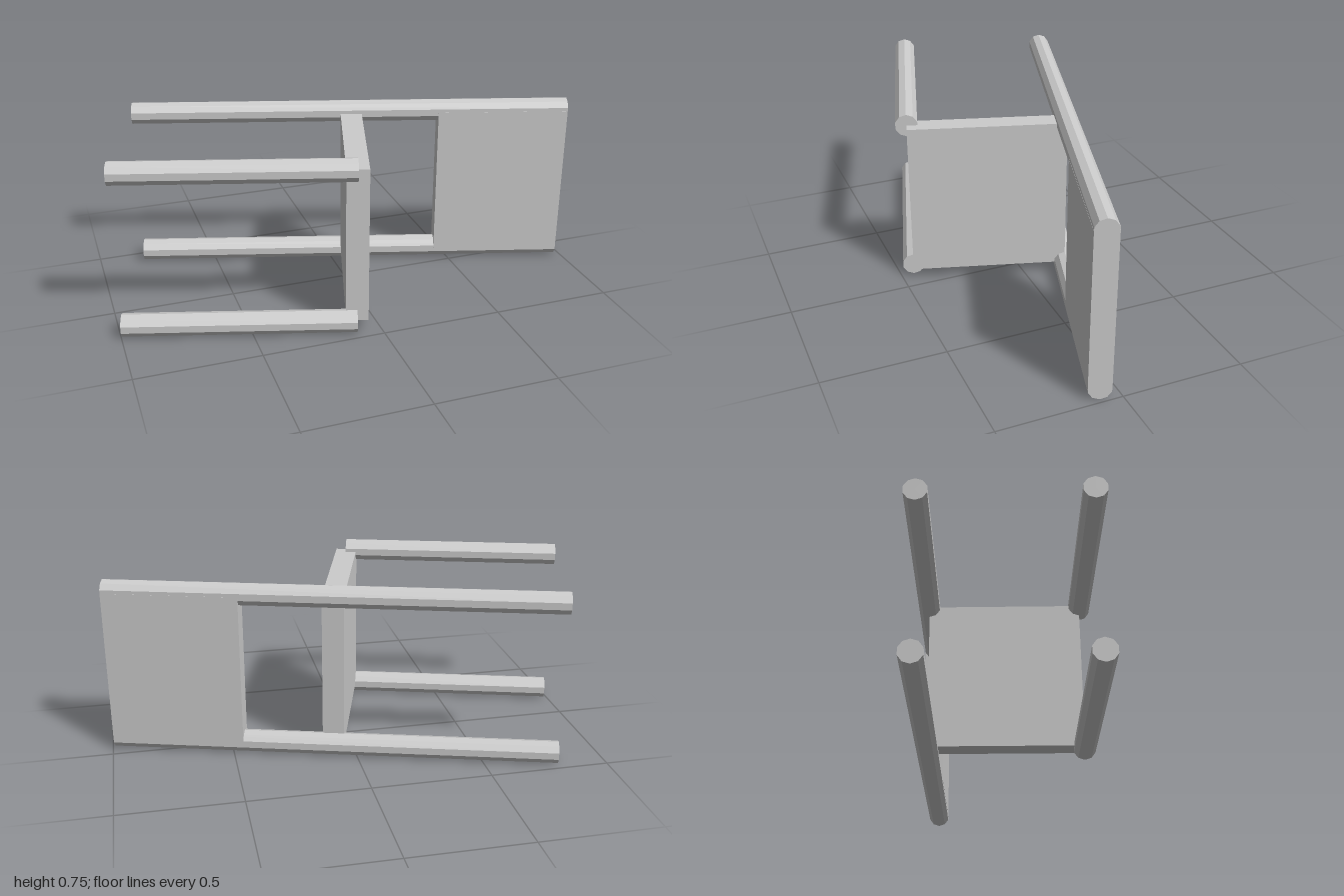
import * as THREE from 'three';

// A simple square chair lying on its side.
// Local axes: x runs up the chair, y across its width, z towards its front.
export function createModel() {
  const grey = new THREE.MeshStandardMaterial({ color: 0xcccccc });
  grey.name = 'plainGrey';

  const R = 0.0467;          // leg radius
  const SPAN = 0.652;        // distance between leg axes
  const LEG = 0.932;         // front leg length
  const POST = 1.863;        // back post length
  const BACK = 0.556;        // backrest height
  const THICK = 0.09;        // seat and backrest thickness

  const model = new THREE.Group();
  model.name = 'chair';
  const chair = new THREE.Group();
  chair.name = 'tippedChair';
  chair.position.set(-0.803, 0, -0.4465);
  chair.rotation.y = -0.29;
  model.add(chair);

  const add = (name, geometry, x, y, z) => {
    const mesh = new THREE.Mesh(geometry, grey);
    mesh.name = name;
    mesh.position.set(x, y, z);
    chair.add(mesh);
  };

  // Ten-sided faceted pole along x, with ridges at top and bottom
  const pole = (length) => {
    const g = new THREE.CylinderGeometry(R, R, length, 10, 1, false, Math.PI / 2)
      .rotateZ(-Math.PI / 2).toNonIndexed();
    g.computeVertexNormals();
    return g;
  };

  // Front legs and the long back posts, one pair on each side
  [['Lower', R], ['Upper', R + SPAN]].forEach(([side, y]) => {
    add('frontLeg' + side, pole(LEG), LEG / 2, y, SPAN);
    add('backPost' + side, pole(POST), POST / 2, y, 0);
  });

  // Seat and backrest reach from leg axis to leg axis
  const midY = R + SPAN / 2;
  add('seat', new THREE.BoxGeometry(THICK, SPAN, SPAN), LEG, midY, SPAN / 2);
  add('backrest', new THREE.BoxGeometry(BACK, SPAN, THICK), POST - BACK / 2, midY, 0);

  return model;
}
